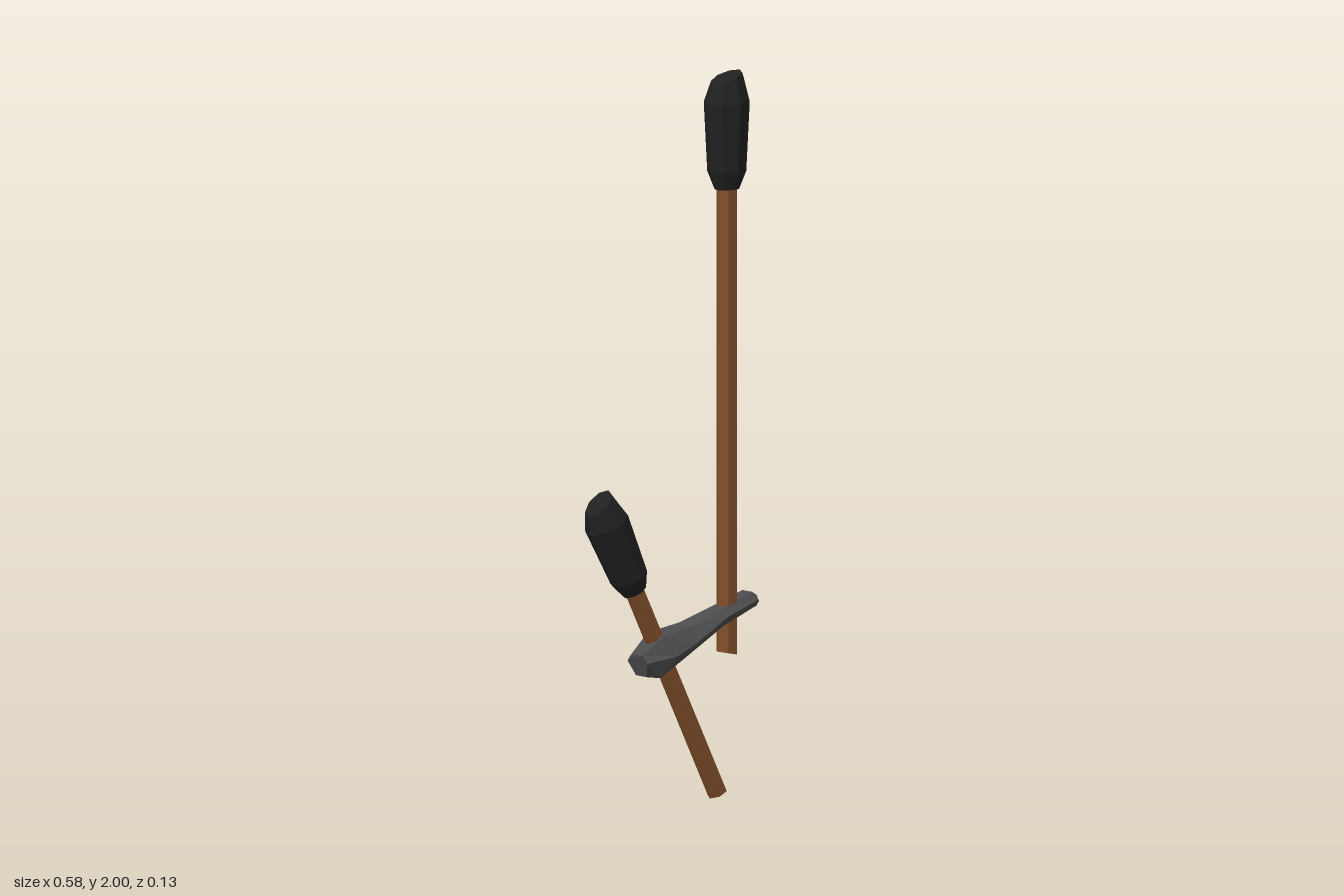
import * as THREE from 'three';

export function createModel() {
  const material = (name, color) => {
    const m = new THREE.MeshStandardMaterial({ color, flatShading: true });
    m.name = name;
    return m;
  };
  const wood = material('brown wood', 0x82502a);
  const black = material('black grip', 0x212121);
  const iron = material('dark grey metal', 0x4c4c4c);

  const model = new THREE.Group();
  model.name = 'leverPair';

  const addMesh = (parent, name, geometry, mat) => {
    const mesh = new THREE.Mesh(geometry, mat);
    mesh.name = name;
    parent.add(mesh);
    return mesh;
  };

  // Faceted grip, base at y = 0, with a slanted top
  const makeGrip = (height, slant) => {
    const profile = [[0, 0], [0.036, 0], [0.057, 0.05], [0.067, 0.24], [0.046, 0.308], [0, 0.311]];
    const geometry = new THREE.LatheGeometry(profile.map(([r, y]) => new THREE.Vector2(r, y)), 8);
    const p = geometry.attributes.position;
    for (let i = 0; i < p.count; i++) {
      if (p.getY(i) > 0.28) p.setY(i, p.getY(i) + p.getX(i) * slant);
    }
    geometry.scale(1, height / 0.325, 0.86);
    return geometry;
  };

  // Six-sided shaft with its lower end cut at a slight slant
  const makeShaft = (length, slant) => {
    const geometry = new THREE.CylinderGeometry(0.029, 0.029, length, 6, 1);
    geometry.rotateY(Math.PI / 6);
    geometry.translate(0, length / 2, 0);
    const p = geometry.attributes.position;
    for (let i = 0; i < p.count; i++) {
      if (p.getY(i) < 0.001) p.setY(i, p.getX(i) * slant);
    }
    return geometry;
  };

  const addLever = (name, x, y, angle, length, endSlant, gripHeight, gripSlant) => {
    const lever = new THREE.Group();
    lever.name = name;
    lever.position.set(x, y, 0);
    lever.rotation.z = angle;
    addMesh(lever, name + 'Shaft', makeShaft(length + 0.05, endSlant), wood);
    addMesh(lever, name + 'Grip', makeGrip(gripHeight, gripSlant), black).position.y = length;
    model.add(lever);
  };
  addLever('longLever', 0.203, 0.398, 0, 1.277, -0.2, 0.325, 0.34);
  addLever('shortLever', 0.169, 0.016, 0.465, 0.655, 0, 0.3, 0.34);

  // Linking bar: each section gives top, middle and bottom points (x, y) and half depth
  const sections = [
    [-0.116, 0.425, -0.114, 0.405, -0.1, 0.365, 0.042],
    [-0.048, 0.476, -0.025, 0.42, -0.063, 0.36, 0.065],
    [0.063, 0.492, 0.04, 0.445, 0.01, 0.397, 0.061],
    [0.17, 0.526, 0.17, 0.506, 0.17, 0.478, 0.046],
    [0.275, 0.561, 0.285, 0.54, 0.28, 0.517, 0.036],
    [0.296, 0.55, 0.296, 0.535, 0.296, 0.519, 0.026],
  ];
  const vertices = [], index = [];
  sections.forEach(([tx, ty, mx, my, bx, by, d], s) => {
    vertices.push(
      tx, ty, d * 0.55, mx, my, d, bx, by, d * 0.55,
      bx, by, -d * 0.55, mx, my, -d, tx, ty, -d * 0.55);
    if (s === 0) return;
    for (let i = 0; i < 6; i++) {
      const j = (i + 1) % 6, a = (s - 1) * 6, b = s * 6;
      index.push(a + i, a + j, b + j, a + i, b + j, b + i);
    }
  });
  const last = (sections.length - 1) * 6;
  for (let i = 1; i < 5; i++) {
    index.push(0, i + 1, i, last, last + i, last + i + 1);
  }
  const bar = new THREE.BufferGeometry();
  bar.setAttribute('position', new THREE.Float32BufferAttribute(vertices, 3));
  bar.setIndex(index);
  bar.computeVertexNormals();
  addMesh(model, 'linkingBar', bar, iron);

  return model;
}
